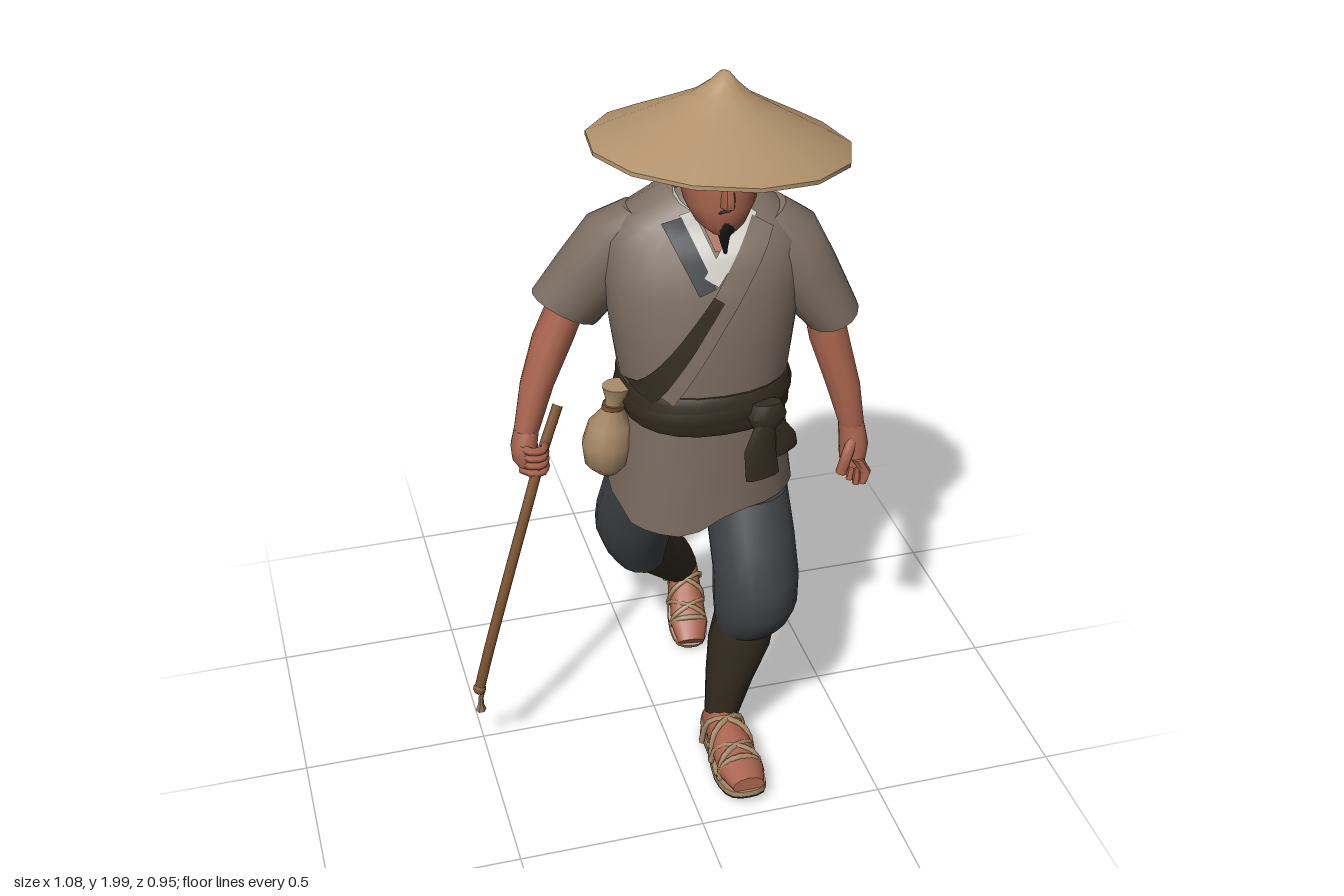
import * as THREE from 'three';
import { toCreasedNormals } from 'three/addons/utils/BufferGeometryUtils.js';

const paint = (name, color, side = THREE.FrontSide) =>
  Object.assign(new THREE.MeshStandardMaterial({ color, side }), { name });

// Torso cross-sections: x, y, z, half width, half depth, slope x, slope z, yaw
const TORSO = [
  [0.115, 1.12, 0.045, 0.21, 0.195], [0.115, 1.2, 0.045, 0.22, 0.2],
  [0.115, 1.32, 0.035, 0.238, 0.205, 0, 0, 0.06], [0.115, 1.45, 0.04, 0.255, 0.186, 0, 0, 0.12],
  [0.115, 1.56, 0.045, 0.245, 0.15, 0, 0, 0.18], [0.115, 1.62, 0.05, 0.2, 0.115, 0, -0.1, 0.15],
  [0.115, 1.685, 0.062, 0.11, 0.08, 0, -0.4],
];
const BULGE = 0.87; // below 1 makes an ellipse squarer

// Closed skin over a stack of elliptical sections listed from low to high
function loft(rings, n = 14, cap = true, e = 1) {
  const pos = [], idx = [], pow = v => Math.sign(v) * Math.abs(v) ** e;
  for (const [x, y, z, rx, rz, sx = 0, sz = 0, yaw = 0] of rings) {
    for (let j = 0; j < n; j++) {
      const a = (j / n) * Math.PI * 2, u = pow(Math.cos(a)) * rx, v = pow(Math.sin(a)) * rz;
      const dx = u * Math.cos(yaw) - v * Math.sin(yaw), dz = u * Math.sin(yaw) + v * Math.cos(yaw);
      pos.push(x + dx, y + sx * dx + sz * dz, z + dz);
    }
  }
  const last = rings.length - 1;
  for (let i = 0; i < last; i++) for (let j = 0; j < n; j++) {
    const k = (j + 1) % n, a = i * n + j, b = i * n + k;
    idx.push(a, a + n, b, b, a + n, b + n);
  }
  if (cap) {
    const c = rings.length * n;
    pos.push(...rings[0].slice(0, 3), ...rings[last].slice(0, 3));
    for (let j = 0; j < n; j++) {
      const k = (j + 1) % n;
      idx.push(c, j, k, c + 1, last * n + k, last * n + j);
    }
  }
  const g = new THREE.BufferGeometry();
  g.setAttribute('position', new THREE.Float32BufferAttribute(pos, 3));
  g.setIndex(idx);
  return toCreasedNormals(g, 0.9);
}

// Depth of the torso front at a point
function frontZ(x, y) {
  let i = 0;
  while (i < TORSO.length - 2 && y > TORSO[i + 1][1]) i++;
  const A = TORSO[i], B = TORSO[i + 1], t = Math.min(1, Math.max(0, (y - A[1]) / (B[1] - A[1])));
  const mix = k => (A[k] || 0) * (1 - t) + (B[k] || 0) * t;
  const d = Math.min(1, Math.abs(x - mix(0)) / mix(3)), p = 2 / BULGE;
  return mix(2) + mix(4) * (1 - d ** p) ** (1 / p) + mix(7) * (x - mix(0));
}

// Cloth band lying on the torso front
function ribbon([x0, y0, w0], [x1, y1, w1], lift) {
  const g = new THREE.PlaneGeometry(1, 1, 4, 12), p = g.attributes.position;
  const len = Math.hypot(x1 - x0, y1 - y0), nx = -(y1 - y0) / len, ny = (x1 - x0) / len;
  for (let i = 0; i < p.count; i++) {
    const t = 0.5 - p.getY(i), w = p.getX(i) * (w0 + (w1 - w0) * t);
    const x = x0 + (x1 - x0) * t + nx * w, y = y0 + (y1 - y0) * t + ny * w;
    p.setXYZ(i, x, y, frontZ(x, y) + lift);
  }
  g.computeVertexNormals();
  return g;
}

const tube = (pts, r, seg = 10, sides = 6) => new THREE.TubeGeometry(
  new THREE.CatmullRomCurve3(pts.map(p => new THREE.Vector3(...p))), seg, r, sides);

export function createModel() {
  const root = new THREE.Group(), D = THREE.DoubleSide;
  const straw = paint('straw', 0xb3936d, D), shirt = paint('greyBrownCloth', 0x7d6e62, D);
  const slate = paint('slateCloth', 0x404245, D), dark = paint('darkBrownCloth', 0x352c20, D);
  const skin = paint('skin', 0xa9644e, D), white = paint('whiteCloth', 0xd6d2cb, D);
  const wood = paint('wood', 0x7c5330), canvas = paint('canvas', 0xaa8c69, D), black = paint('black', 0x1d1b1a, D);
  const add = (name, geo, mat, parent = root) => {
    const m = new THREE.Mesh(geo, mat);
    m.name = name;
    parent.add(m);
    return m;
  };

  // Wide tilted straw hat
  const profile = [[0.0, 0.186], [0.012, 0.182], [0.035, 0.158], [0.075, 0.127], [0.14, 0.096],
    [0.24, 0.05], [0.322, 0.01], [0.322, 0], [0.22, 0.042], [0.1, 0.093], [0.0, 0.11]];
  const hat = add('hat', toCreasedNormals(new THREE.LatheGeometry(
    profile.map(p => new THREE.Vector2(...p)), 13), 0.7), straw);
  hat.position.set(0.127, 1.815, 0.123);
  hat.quaternion.setFromUnitVectors(new THREE.Vector3(0, 1, 0), new THREE.Vector3(0.08, 1, -0.08).normalize());

  // Head, neck and hair
  add('neck', loft([[0.115, 1.56, 0.08, 0.07, 0.06], [0.12, 1.73, 0.1, 0.062, 0.065]]), skin);
  add('head', loft([[0.115, 1.632, 0.205, 0.03, 0.028], [0.116, 1.655, 0.178, 0.062, 0.068],
    [0.12, 1.7, 0.15, 0.088, 0.105], [0.122, 1.76, 0.13, 0.1, 0.123],
    [0.122, 1.82, 0.125, 0.1, 0.12], [0.12, 1.88, 0.12, 0.06, 0.08]], 16), skin);
  add('hairWrap', loft([[0.12, 1.725, 0.085, 0.085, 0.085], [0.12, 1.755, 0.093, 0.104, 0.105],
    [0.12, 1.83, 0.1, 0.108, 0.112], [0.12, 1.88, 0.11, 0.07, 0.08]], 16), slate);
  add('nose', loft([[0.112, 1.715, 0.248, 0.018, 0.024], [0.112, 1.735, 0.25, 0.018, 0.026],
    [0.114, 1.8, 0.24, 0.01, 0.014]], 6), skin);
  for (const s of [-1, 1]) {
    const ear = add('ear', new THREE.SphereGeometry(0.03, 8, 6), skin);
    ear.scale.set(0.4, 1, 0.7);
    ear.position.set(0.12 + s * 0.102, 1.75, 0.125);
    add('sideburn', loft([[0.12 + s * 0.092, 1.745, 0.158, 0.006, 0.008],
      [0.12 + s * 0.097, 1.81, 0.155, 0.006, 0.014]], 6), dark);
    add('brow', tube([[0.114 + s * 0.022, 1.803, 0.242], [0.114 + s * 0.045, 1.807, 0.234],
      [0.114 + s * 0.068, 1.801, 0.215]], 0.004, 6, 5), black);
    add('eye', tube([[0.114 + s * 0.03, 1.782, 0.246], [0.114 + s * 0.05, 1.781, 0.236]], 0.003, 3, 5), black);
    add('moustache', tube([[0.114, 1.707, 0.252], [0.114 + s * 0.02, 1.702, 0.247],
      [0.114 + s * 0.032, 1.69, 0.235]], 0.004, 5, 5), black);
  }
  add('goatee', loft([[0.122, 1.57, 0.205, 0.004, 0.004], [0.115, 1.62, 0.216, 0.014, 0.012],
    [0.114, 1.65, 0.23, 0.024, 0.018], [0.114, 1.672, 0.24, 0.012, 0.01]], 8), black);

  // Jacket body, skirt and collars
  add('jacketBody', loft(TORSO, 24, true, BULGE), shirt);
  const skirt = loft([[0.118, 0.8, 0.022, 0.24, 0.222], [0.117, 0.9, 0.03, 0.232, 0.214],
    [0.115, 1.12, 0.045, 0.21, 0.198]], 28, false, BULGE);
  const sp = skirt.attributes.position;
  for (let i = 0; i < sp.count; i++) { // front hem: one panel hangs lower than the other
    const rise = THREE.MathUtils.smoothstep(sp.getX(i), 0, 0.17);
    if (sp.getY(i) < 0.85 && sp.getZ(i) > 0.1) sp.setXYZ(i, sp.getX(i), 0.775 + rise * 0.07, sp.getZ(i) + 0.012);
  }
  add('jacketSkirt', skirt, shirt);
  add('collarRing', loft([[0.115, 1.635, 0.068, 0.102, 0.088, 0, -0.35],
    [0.116, 1.69, 0.078, 0.086, 0.076, 0, -0.55]], 16, false), white);
  add('chest', ribbon([0.12, 1.665, 0.12], [0.105, 1.57, 0.01], 0.006), skin);
  add('innerCollarRight', ribbon([0.04, 1.66, 0.035], [0.1, 1.51, 0.035], 0.009), white);
  add('innerCollarLeft', ribbon([0.195, 1.66, 0.045], [0.085, 1.5, 0.04], 0.012), white);
  add('slateCollar', ribbon([0.005, 1.64, 0.05], [0.075, 1.475, 0.045], 0.011), slate);
  add('lapel', ribbon([0.225, 1.63, 0.06], [-0.04, 1.19, 0.065], 0.014), shirt);
  add('lapelEdge', ribbon([0.1, 1.46, 0.03], [-0.08, 1.18, 0.055], 0.017), dark);

  // Sash with knot and hanging tails
  add('sash', loft([[0.115, 1.08, 0.05, 0.214, 0.202], [0.115, 1.1, 0.05, 0.222, 0.21],
    [0.115, 1.17, 0.05, 0.222, 0.21], [0.115, 1.19, 0.05, 0.214, 0.2]], 24, true, BULGE), dark);
  add('sashFold', loft([[0.115, 1.115, 0.05, 0.222, 0.21, 0.06], [0.115, 1.135, 0.05, 0.228, 0.215, 0.06],
    [0.115, 1.155, 0.05, 0.222, 0.21, 0.06]], 24, false, BULGE), dark);
  add('sashKnot', loft([[0.225, 1.085, 0.253, 0.034, 0.02], [0.225, 1.125, 0.256, 0.052, 0.032],
    [0.225, 1.16, 0.252, 0.038, 0.022]], 10), dark);
  add('sashTail', loft([[0.215, 0.945, 0.266, 0.044, 0.012, 0.2], [0.205, 1.03, 0.27, 0.042, 0.014],
    [0.222, 1.12, 0.262, 0.024, 0.014]], 8), dark);
  add('sashTail', loft([[0.278, 1.0, 0.245, 0.035, 0.012, 0.5], [0.268, 1.06, 0.255, 0.035, 0.014],
    [0.235, 1.12, 0.258, 0.024, 0.014]], 8), dark);

  // Pouch at the hip
  add('pouch', loft([[-0.142, 0.9, 0.065, 0.03, 0.03], [-0.145, 0.93, 0.065, 0.058, 0.056],
    [-0.142, 0.99, 0.065, 0.068, 0.064], [-0.136, 1.05, 0.07, 0.058, 0.054], [-0.13, 1.1, 0.08, 0.026, 0.025],
    [-0.126, 1.125, 0.085, 0.024, 0.023], [-0.118, 1.17, 0.09, 0.042, 0.036]], 12), canvas);
  add('pouchTie', loft([[-0.13, 1.1, 0.08, 0.031, 0.03], [-0.127, 1.115, 0.083, 0.031, 0.03]], 10), wood);

  // Arms: the right swings back, the left forward
  add('rightSleeve', loft([[-0.215, 1.325, -0.075, 0.083, 0.085, -0.55], [-0.14, 1.43, -0.055, 0.09, 0.098, -0.5],
    [-0.07, 1.53, -0.025, 0.092, 0.102, -0.6], [0.0, 1.6, 0.01, 0.085, 0.08, -0.4]], 16), shirt);
  add('leftSleeve', loft([[0.44, 1.308, 0.098, 0.067, 0.097, 0.4], [0.362, 1.43, 0.09, 0.084, 0.104, 0.5],
    [0.3, 1.53, 0.08, 0.09, 0.103, 0.6], [0.23, 1.6, 0.07, 0.085, 0.08, 0.4]], 16), shirt);
  add('rightForearm', loft([[-0.335, 1.0, -0.03, 0.034, 0.036], [-0.3, 1.12, -0.05, 0.045, 0.048],
    [-0.25, 1.24, -0.07, 0.055, 0.057], [-0.2, 1.36, -0.07, 0.052, 0.057]], 12), skin);
  add('leftForearm', loft([[0.492, 1.0, 0.155, 0.034, 0.04], [0.467, 1.12, 0.138, 0.046, 0.054],
    [0.435, 1.24, 0.112, 0.053, 0.06], [0.41, 1.36, 0.1, 0.05, 0.06]], 12), skin);
  add('rightHand', loft([[-0.332, 0.885, -0.012, 0.024, 0.03], [-0.342, 0.92, -0.018, 0.036, 0.042],
    [-0.345, 0.96, -0.022, 0.036, 0.044], [-0.335, 1.005, -0.03, 0.034, 0.036]], 10), skin);
  add('leftHand', loft([[0.497, 0.885, 0.165, 0.032, 0.046], [0.5, 0.945, 0.16, 0.039, 0.047],
    [0.492, 1.005, 0.155, 0.034, 0.04]], 10), skin);
  for (let i = 0; i < 4; i++) {
    const z = 0.135 + i * 0.022, drop = [0.84, 0.822, 0.82, 0.835][i];
    add('leftFinger', loft([[0.485 + i * 0.01, drop, z + 0.006, 0.01, 0.01],
      [0.502 + i * 0.007, 0.865, z, 0.016, 0.014], [0.497, 0.91, z, 0.017, 0.015]], 7), skin);
    add('rightFinger', tube([[-0.36, 0.9 + i * 0.022, 0.0], [-0.33, 0.898 + i * 0.022, 0.028],
      [-0.3, 0.9 + i * 0.022, 0.022], [-0.295, 0.9 + i * 0.022, -0.005]], 0.012, 6, 5), skin);
  }
  add('leftThumb', tube([[0.49, 0.965, 0.185], [0.466, 0.925, 0.205], [0.453, 0.875, 0.205]], 0.015, 6, 6), skin);

  // Bent walking stick with tassel
  const stick = [[-0.25, 1.06, -0.03], [-0.305, 0.94, 0.008], [-0.36, 0.8, 0.05], [-0.43, 0.6, 0.09],
    [-0.485, 0.43, 0.115], [-0.522, 0.29, 0.12]];
  add('stick', tube(stick, 0.0145, 20, 7), wood);
  add('stickEnd', new THREE.IcosahedronGeometry(0.018, 1), wood).position.set(...stick[5]);
  add('tasselCord', tube([[-0.522, 0.3, 0.12], [-0.51, 0.27, 0.1], [-0.51, 0.2, 0.06]], 0.006, 8, 5), canvas);
  add('tassel', loft([[-0.509, 0.145, 0.038, 0.015, 0.016], [-0.51, 0.175, 0.05, 0.008, 0.008],
    [-0.511, 0.215, 0.066, 0.007, 0.007]], 6), canvas);

  // Baggy trousers and wrapped shins
  add('trouserSeat', loft([[0.11, 0.74, 0.04, 0.1, 0.07], [0.11, 0.8, 0.035, 0.2, 0.15],
    [0.115, 0.92, 0.035, 0.215, 0.18]], 16), slate);
  add('leftTrouser', loft([[0.21, 0.425, 0.2, 0.085, 0.08], [0.215, 0.465, 0.21, 0.1, 0.105],
    [0.22, 0.53, 0.222, 0.112, 0.125], [0.22, 0.62, 0.22, 0.114, 0.125], [0.217, 0.73, 0.178, 0.115, 0.12],
    [0.215, 0.84, 0.125, 0.112, 0.115]], 16), slate);
  add('rightTrouser', loft([[0.01, 0.425, -0.2, 0.076, 0.08, 0, -0.3], [0.0, 0.47, -0.207, 0.095, 0.105, 0, -0.3],
    [-0.01, 0.54, -0.18, 0.109, 0.12, 0, -0.3], [-0.01, 0.62, -0.14, 0.113, 0.122, 0, -0.2],
    [0.0, 0.74, -0.085, 0.116, 0.12], [0.01, 0.84, -0.045, 0.115, 0.118]], 16), slate);
  add('leftShinWrap', loft([[0.147, 0.11, 0.18, 0.048, 0.05], [0.165, 0.24, 0.185, 0.066, 0.07],
    [0.19, 0.36, 0.187, 0.086, 0.086], [0.205, 0.47, 0.195, 0.084, 0.08]], 12), dark);
  add('rightShinWrap', loft([[0.192, 0.2, -0.39, 0.046, 0.052, 0.35, -0.5], [0.145, 0.28, -0.33, 0.06, 0.062, 0.4, -0.5],
    [0.075, 0.38, -0.255, 0.074, 0.075, 0.3, -0.4], [0.02, 0.48, -0.19, 0.075, 0.075]], 12), dark);

  // Feet in strapped straw sandals, heel at the origin and toe along +z
  const soleShape = new THREE.Shape(new THREE.SplineCurve([[0, -0.005], [0.045, 0.01], [0.05, 0.1], [0.066, 0.23],
    [0.05, 0.315], [0, 0.335], [-0.05, 0.315], [-0.066, 0.23], [-0.05, 0.1], [-0.045, 0.01], [0, -0.005]]
    .map(p => new THREE.Vector2(...p))).getPoints(24));
  const slab = (depth, top) => { // sole plate with the toe curling up
    const g = new THREE.ExtrudeGeometry(soleShape, { depth, bevelEnabled: false }).rotateX(Math.PI / 2);
    const p = g.attributes.position;
    for (let i = 0; i < p.count; i++) p.setY(i, p.getY(i) + top + Math.max(0, p.getZ(i) - 0.2) * 0.12);
    g.computeVertexNormals();
    return g;
  };
  const foot = name => {
    const g = new THREE.Group();
    g.name = name;
    add('sandalSole', slab(0.015, 0.021), canvas, g);
    add('soleBottom', slab(0.006, 0.006), black, g);
    add('foot', loft([[0, 0.005, -0.055, 0.035, 0.035], [0, 0.04, -0.072, 0.049, 0.06], [0, 0.1, -0.072, 0.052, 0.062],
      [0, 0.18, -0.06, 0.058, 0.05], [0, 0.26, -0.052, 0.062, 0.038], [0, 0.325, -0.05, 0.044, 0.025]], 12)
      .rotateX(Math.PI / 2), skin, g);
    add('heelCup', loft([[0, 0.0, -0.05, 0.038, 0.033], [0, 0.04, -0.058, 0.053, 0.05],
      [0, 0.1, -0.055, 0.056, 0.044]], 12, false).rotateX(Math.PI / 2), canvas, g);
    for (const [a, b, h] of [[0.08, 0.17, 0.128], [0.17, 0.08, 0.128], [0.17, 0.25, 0.1], [0.25, 0.17, 0.1], [0.25, 0.25, 0.091]])
      add('strap', tube([[-0.06, 0.025, a], [-0.046, h * 0.8, a * 0.8 + b * 0.2], [0, h, (a + b) / 2],
        [0.046, h * 0.8, a * 0.2 + b * 0.8], [0.06, 0.025, b]], 0.009, 10, 5), canvas, g);
    root.add(g);
    return g;
  };
  const left = foot('leftFoot');
  left.position.set(0.14, 0.012, 0.137);
  left.rotation.x = -0.05;
  const right = foot('rightFoot');
  right.scale.setScalar(0.87);
  right.rotation.set(0.58, -0.13, 0, 'YXZ');
  right.position.set(0.208, 0.165, -0.47);
  return root;
}
